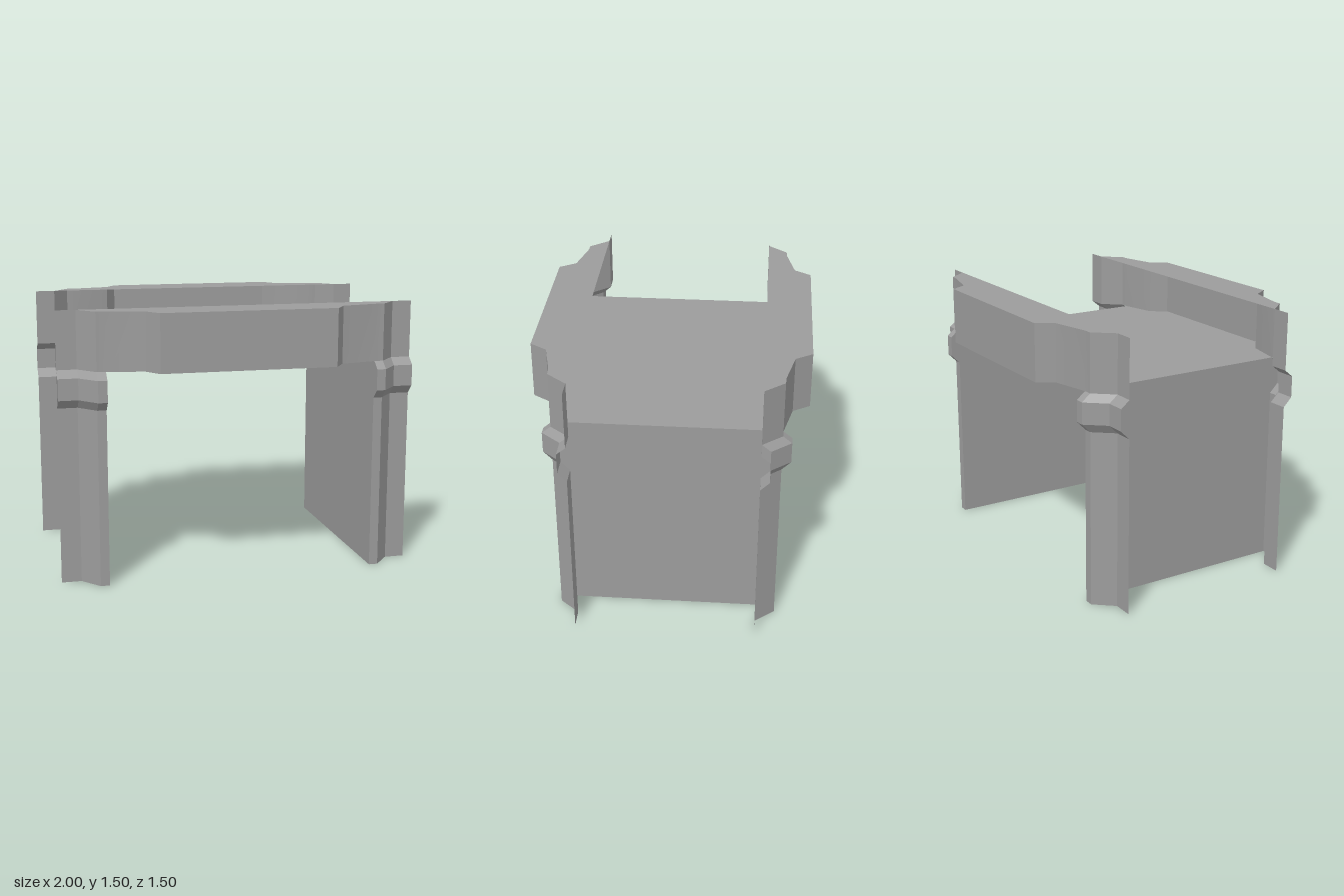
import * as THREE from 'three';
import { toCreasedNormals } from 'three/addons/utils/BufferGeometryUtils.js';

const material = new THREE.MeshStandardMaterial({ color: 0x9c9c9c, side: THREE.DoubleSide });

const WALL_X = 0.75, SLAB_Y = 1.182, TOP_Y = 1.5, FACE_Z = 0.608;

// Plan of one pilaster, [x, z], from its inner edge to the outer wing
const pilasterPlan = [[WALL_X, FACE_Z], [0.8, FACE_Z], [0.89, 0.5], [1, 0.5]];
// Elevation of a pilaster with its capital, [y, outward offset in z]
const pilasterRise = [[0, 0], [0.975, 0], [1.024, 0.049], [1.142, 0.049], [SLAB_Y, 0]];
// Half plan of the fascia between the middle and the corner, [x, z]
const fasciaHalf = [[0.485, 0.75], [0.545, 0.657], [WALL_X, 0.61]];

const mirrorX = (half) => [...half.map(([x, z]) => [-x, z]).reverse(), ...half];

// Sheet swept from a plan line through a list of [height, z offset] levels;
// only the shallow bends are smoothed
function sweepSheet(plan, levels, sx, sz) {
  const positions = [], index = [], n = plan.length;
  for (const [y, dz] of levels) for (const [x, z] of plan) positions.push(x * sx, y, (z + dz) * sz);
  for (let r = 0; r < levels.length - 1; r++) {
    for (let c = 0; c < n - 1; c++) {
      const a = r * n + c, b = a + 1, d = a + n, e = d + 1;
      if (sx * sz > 0) index.push(a, b, e, a, e, d);
      else index.push(a, e, b, a, d, e);
    }
  }
  const geometry = new THREE.BufferGeometry();
  geometry.setAttribute('position', new THREE.Float32BufferAttribute(positions, 3));
  geometry.setIndex(index);
  return toCreasedNormals(geometry, 0.4);
}

// Horizontal sheet with an [x, z] outline at height y
function flatSheet(outline, y) {
  const shape = new THREE.Shape(outline.map(([x, z]) => new THREE.Vector2(x, -z)));
  return new THREE.ShapeGeometry(shape).rotateX(-Math.PI / 2).translate(0, y, 0);
}

export function createModel() {
  const model = new THREE.Group();
  model.name = 'gateway';
  const add = (name, geometry) => {
    const mesh = new THREE.Mesh(geometry, material);
    mesh.name = name;
    model.add(mesh);
  };

  // Roof slab reaching out to both fascias
  const slabFront = mirrorX(fasciaHalf);
  const slabBack = slabFront.map(([x, z]) => [x, -z]).reverse();
  add('roofSlab', flatSheet([...slabFront, ...slabBack], SLAB_Y));

  // Side walls, whose ends follow the capitals
  const ends = pilasterRise.map(([y, dz]) => [FACE_Z + dz, y]);
  const outline = [...ends, ...ends.map(([z, y]) => [-z, y]).reverse()];
  for (const side of [1, -1]) {
    const shape = new THREE.Shape(outline.map(([z, y]) => new THREE.Vector2(z, y)));
    const wall = new THREE.ShapeGeometry(shape).rotateY(side * Math.PI / 2);
    add(side > 0 ? 'leftWall' : 'rightWall', wall.translate(side * WALL_X, 0, 0));
  }

  // Fascias, open towards the middle, with a flat top
  const fasciaPlan = mirrorX([...fasciaHalf, ...pilasterPlan.slice(1)]);
  for (const end of [1, -1]) {
    const label = end > 0 ? 'front' : 'back';
    add(label + 'Fascia', sweepSheet(fasciaPlan, [[SLAB_Y, 0], [TOP_Y, 0]], 1, end));
    const cap = fasciaPlan.slice(1, -1).map(([x, z]) => [x, z * end]);
    add(label + 'FasciaTop', flatSheet(cap, TOP_Y));

    // Corner pilasters
    for (const side of [1, -1]) {
      add(label + (side > 0 ? 'Left' : 'Right') + 'Pilaster', sweepSheet(pilasterPlan, pilasterRise, side, end));
    }
  }

  return model;
}
